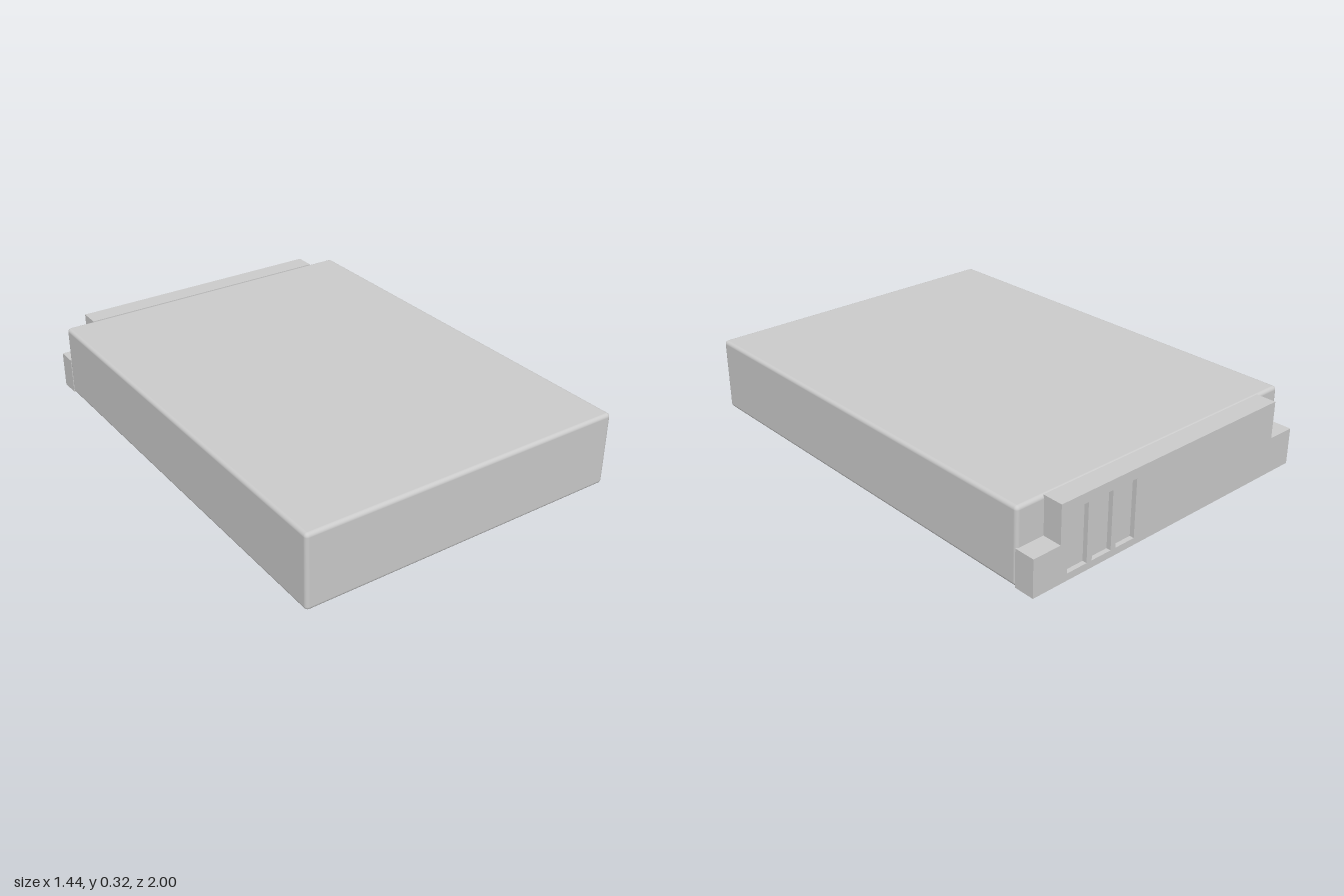
import * as THREE from 'three';
import { RoundedBoxGeometry } from 'three/addons/geometries/RoundedBoxGeometry.js';

const W = 0.72, H = 0.323;          // half width, height
const BODY_BACK = -0.915, CAP_BACK = -1, SLOT_DEPTH = 0.02;
const NOTCH_X = 0.592, NOTCH_Y = 0.16;

// Cap outline: full width below, stepped in at both top corners
function capShape() {
  return new THREE.Shape([
    [-W, 0], [W, 0], [W, NOTCH_Y], [NOTCH_X, NOTCH_Y],
    [NOTCH_X, H], [-NOTCH_X, H], [-NOTCH_X, NOTCH_Y], [-W, NOTCH_Y],
  ].map(([x, y]) => new THREE.Vector2(x, y)));
}

function rectHole(x0, x1, y0, y1) {
  return new THREE.Path([
    new THREE.Vector2(x0, y0), new THREE.Vector2(x0, y1),
    new THREE.Vector2(x1, y1), new THREE.Vector2(x1, y0),
  ]);
}

export function createModel() {
  const group = new THREE.Group();
  group.name = 'batteryPack';
  const material = new THREE.MeshStandardMaterial({ color: 0xcccccc });

  const add = (name, geometry, z) => {
    const mesh = new THREE.Mesh(geometry, material);
    mesh.name = name;
    mesh.position.z = z;
    group.add(mesh);
    return mesh;
  };

  // Main case with softly rounded edges
  const length = 1 - BODY_BACK;
  const body = add('body', new RoundedBoxGeometry(2 * W, H, length, 4, 0.016), (1 + BODY_BACK) / 2);
  body.position.y = H / 2;

  // Solid part of the end cap
  const capFront = BODY_BACK + 0.005, slotFloor = CAP_BACK + SLOT_DEPTH;
  add('endCap', new THREE.ExtrudeGeometry(capShape(), {
    depth: capFront - slotFloor, bevelEnabled: false,
  }), slotFloor);

  // Outer layer of the cap, pierced by three contact slots
  const face = capShape();
  for (let i = 0; i < 3; i++) {
    const x = 0.46 - i * 0.123;
    face.holes.push(rectHole(x, x + 0.097, 0.03, 0.28));
  }
  add('contactFace', new THREE.ExtrudeGeometry(face, {
    depth: SLOT_DEPTH, bevelEnabled: false,
  }), CAP_BACK);

  return group;
}
